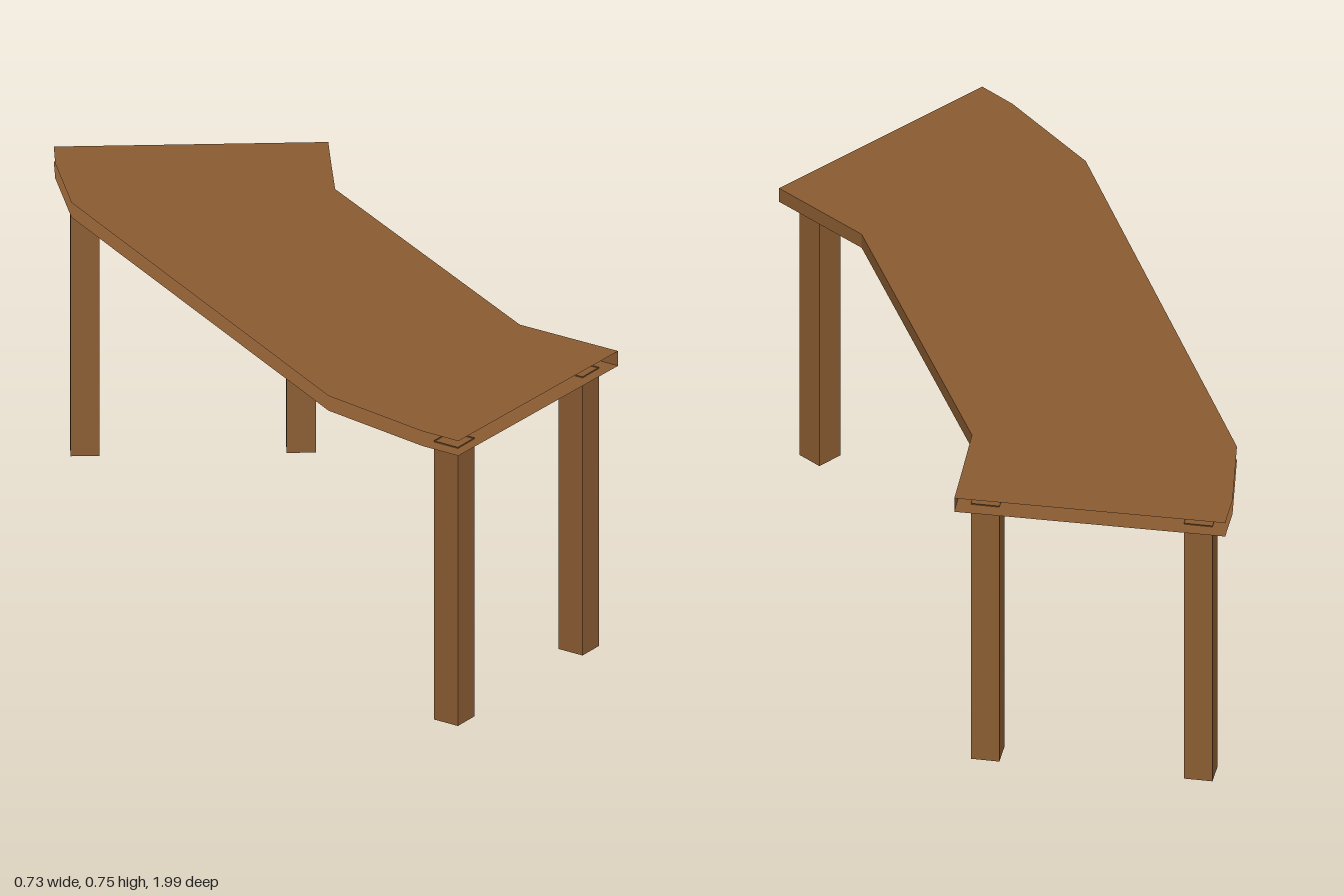
import * as THREE from 'three';

const TOP = 0.755, UNDER = 0.717, LEG_TOP = 0.72, LEG_SIDE = 0.069;

const wood = new THREE.MeshStandardMaterial({ color: 0x8a5c32, side: THREE.DoubleSide });
wood.name = 'wood brown';

// concave long edge, front to back [x, z]
const concaveEdge = [
  [0.365, 0.704], [0.235, 0.455], [0.235, -0.46], [0.307, -0.614], [0.354, -0.713],
];
// bowed long edge, back to front [x, z]
const bowedEdge = [
  [-0.23, -1], [-0.275, -0.91], [-0.352, -0.688],
  [-0.365, 0.61], [-0.27, 0.9], [-0.223, 0.992],
];

// horizontal sheet with the table outline
function sheet(name, y) {
  const outline = [...concaveEdge, ...bowedEdge].map(([x, z]) => new THREE.Vector2(x, -z));
  const g = new THREE.ShapeGeometry(new THREE.Shape(outline));
  g.rotateX(-Math.PI / 2).translate(0, y, 0);
  const m = new THREE.Mesh(g, wood);
  m.name = name;
  return m;
}

// upright strip of flat panels following a path
function wall(name, path, y0, y1) {
  const pos = [];
  for (let i = 0; i + 1 < path.length; i++) {
    const [ax, az] = path[i], [bx, bz] = path[i + 1];
    pos.push(ax, y0, az, bx, y0, bz, bx, y1, bz);
    pos.push(ax, y0, az, bx, y1, bz, ax, y1, az);
  }
  const g = new THREE.BufferGeometry();
  g.setAttribute('position', new THREE.Float32BufferAttribute(pos, 3));
  g.computeVertexNormals();
  const m = new THREE.Mesh(g, wood);
  m.name = name;
  return m;
}

// square hollow leg, turned to line up with the slanted table end
function leg(name, cx, cz, angle) {
  const h = LEG_SIDE / 2, c = Math.cos(angle), s = Math.sin(angle);
  const path = [[-h, h], [h, h], [h, -h], [-h, -h], [-h, h]]
    .map(([x, z]) => [cx + x * c + z * s, cz - x * s + z * c]);
  return wall(name, path, 0, LEG_TOP);
}

export function createModel() {
  const table = new THREE.Group();
  table.name = 'table';

  // top and underside, joined only along the concave edge
  table.add(sheet('tableTop', TOP), sheet('tableUnderside', UNDER));
  table.add(wall('concaveEdge', concaveEdge, UNDER, TOP));

  // legs
  const turn = THREE.MathUtils.degToRad(27);
  table.add(
    leg('frontRightLeg', -0.188, 0.907, turn),
    leg('frontLeftLeg', 0.271, 0.681, turn),
    leg('backRightLeg', -0.198, -0.905, -turn),
    leg('backLeftLeg', 0.261, -0.678, -turn),
  );
  return table;
}
